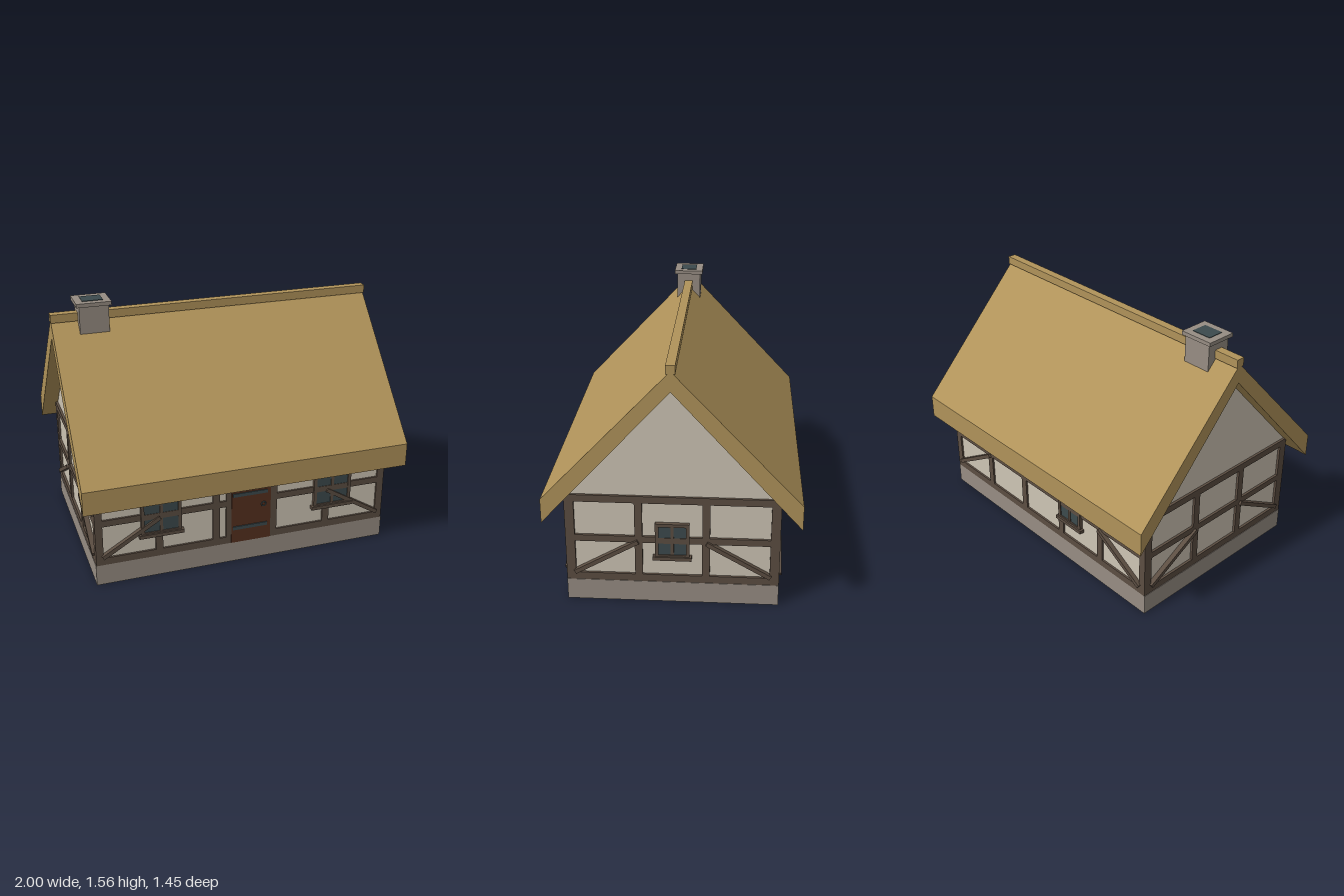
import * as THREE from 'three';

const mat = (name, color) => {
  const m = new THREE.MeshStandardMaterial({ color });
  m.name = name;
  return m;
};

export function createModel() {
  const thatch = mat('thatch', 0xb0935a);
  const plaster = mat('plaster', 0xcec5b5);
  const timber = mat('timber', 0x5c4e42);
  const stone = mat('stone', 0x978d83);
  const wood = mat('doorWood', 0x55301f);
  const slate = mat('glassAndIron', 0x3c4a4d);

  const house = new THREE.Group();
  house.name = 'cottage';

  const add = (parent, name, geo, material) => {
    const m = new THREE.Mesh(geo, material);
    m.name = name;
    parent.add(m);
    return m;
  };
  // Box given by its extents on each axis
  const box = (parent, name, x0, x1, y0, y1, z0, z1, material) => {
    const m = add(parent, name, new THREE.BoxGeometry(x1 - x0, y1 - y0, z1 - z0), material);
    m.position.set((x0 + x1) / 2, (y0 + y1) / 2, (z0 + z1) / 2);
    return m;
  };
  // Profile in z and y, extruded along x
  const prism = (name, points, length, material) => {
    const shape = new THREE.Shape(points.map(p => new THREE.Vector2(...p)));
    const geo = new THREE.ExtrudeGeometry(shape, { depth: length, bevelEnabled: false });
    geo.translate(0, 0, -length / 2).rotateY(Math.PI / 2);
    return add(house, name, geo, material);
  };

  // Plinth, plastered body with gables, thatched roof
  box(house, 'plinth', -0.92, 0.92, 0, 0.13, -0.61, 0.61, stone);
  prism('plasterBody', [[-0.598, 0.12], [0.598, 0.12], [0.598, 0.68], [0, 1.335], [-0.598, 0.68]], 1.804, plaster);
  prism('thatchedRoof', [[0.725, 0.54], [0.725, 0.685], [0, 1.452], [-0.725, 0.685], [-0.725, 0.54], [0, 1.337]], 1.995, thatch);
  box(house, 'ridgeCap', -1, 1, 1.437, 1.487, -0.026, 0.026, thatch);

  // Chimney
  box(house, 'chimneyStack', -0.84, -0.665, 1.3, 1.535, -0.077, 0.077, stone);
  box(house, 'chimneyCap', -0.858, -0.65, 1.535, 1.558, -0.092, 0.092, stone);
  box(house, 'chimneyFlue', -0.815, -0.692, 1.556, 1.561, -0.05, 0.05, slate);

  // Wall frames are built facing +z with the timber face at z = 0, then turned
  const BACK = -0.03;
  const beam = (g, name, x0, x1, y0, y1) => box(g, name, x0, x1, y0, y1, BACK, 0, timber);

  const wall = (name, half, cornerWidth, posts, rails, braceX, angle, distance) => {
    const g = new THREE.Group();
    g.name = name;
    g.rotation.y = angle;
    g.position.set(Math.sin(angle) * distance, 0, Math.cos(angle) * distance);
    house.add(g);
    beam(g, 'sillBeam', -half, half, 0.13, 0.175);
    beam(g, 'topBeam', -half, half, 0.635, 0.678);
    for (const [a, b] of rails) beam(g, 'midRail', a, b, 0.383, 0.423);
    for (const x of posts) beam(g, 'post', x - 0.022, x + 0.022, 0.13, 0.66);
    for (const s of [-1, 1]) {
      const c = s * (half - cornerWidth / 2);
      beam(g, 'cornerPost', c - cornerWidth / 2, c + cornerWidth / 2, 0.13, 0.678);
      // Diagonal brace rising from the corner foot to the first post
      const outer = half - cornerWidth + 0.005, dx = outer - braceX, dy = 0.21;
      const brace = add(g, 'brace', new THREE.BoxGeometry(Math.hypot(dx, dy), 0.025, 0.03), timber);
      brace.position.set(s * (outer + braceX) / 2, 0.287, 0);
      brace.rotation.z = -s * Math.atan2(dy, dx);
    }
    return g;
  };

  // Glazed window with frame, glazing bars and projecting sill
  const addWindow = (parent, cx, width, y0, y1) => {
    const g = new THREE.Group();
    g.name = 'window';
    g.position.x = cx;
    parent.add(g);
    const w = width / 2, f = 0.02;
    box(g, 'glass', -w + f / 2, w - f / 2, y0, y1 - f / 2, -0.004, 0.003, slate);
    for (const s of [-1, 1]) {
      const c = s * (w - f / 2);
      box(g, 'frameSide', c - f / 2, c + f / 2, y0, y1, -0.02, 0.01, timber);
    }
    box(g, 'frameTop', -w, w, y1 - f, y1, -0.02, 0.01, timber);
    box(g, 'frameBottom', -w, w, y0, y0 + 0.01, -0.02, 0.01, timber);
    box(g, 'mullion', -0.009, 0.009, y0, y1, -0.01, 0.008, timber);
    box(g, 'crossBar', -w, w, 0.385, 0.421, -0.01, 0.006, timber);
    box(g, 'windowSill', -w - 0.013, w + 0.013, y0 - 0.022, y0, -0.02, 0.02, timber);
  };

  const PI = Math.PI;
  const front = wall('frontWall', 0.917, 0.045, [-0.535, -0.182, 0.182, 0.53],
    [[-0.917, -0.1], [0.17, 0.917]], 0.53, 0, 0.61);
  const back = wall('backWall', 0.917, 0.045, [-0.535, -0.18, 0.18, 0.535],
    [[-0.917, 0.917]], 0.53, PI, 0.61);
  const left = wall('leftWall', 0.61, 0.054, [-0.192, 0.192], [[-0.61, 0.61]], 0.195, PI / 2, 0.917);
  wall('rightWall', 0.61, 0.054, [-0.192, 0.192], [[-0.61, 0.61]], 0.195, -PI / 2, 0.917);

  addWindow(front, -0.522, 0.245, 0.293, 0.525);
  addWindow(front, 0.566, 0.245, 0.293, 0.525);
  addWindow(back, 0.27, 0.2, 0.3, 0.515);
  addWindow(left, 0, 0.195, 0.303, 0.512);

  // Door with jambs, lintel, iron straps and ring handle
  beam(front, 'doorJamb', -0.12, -0.085, 0.13, 0.64);
  beam(front, 'doorLintel', -0.12, 0.2, 0.6, 0.64);
  box(front, 'door', -0.088, 0.161, 0.132, 0.6, -0.02, 0.005, wood);
  for (const y of [0.232, 0.455]) {
    box(front, 'hingeStrap', -0.08, 0.138, y - 0.011, y + 0.011, 0.004, 0.011, slate);
  }
  const ring = add(front, 'doorRing', new THREE.TorusGeometry(0.014, 0.004, 6, 16), slate);
  ring.position.set(0.115, 0.37, 0.008);

  return house;
}
